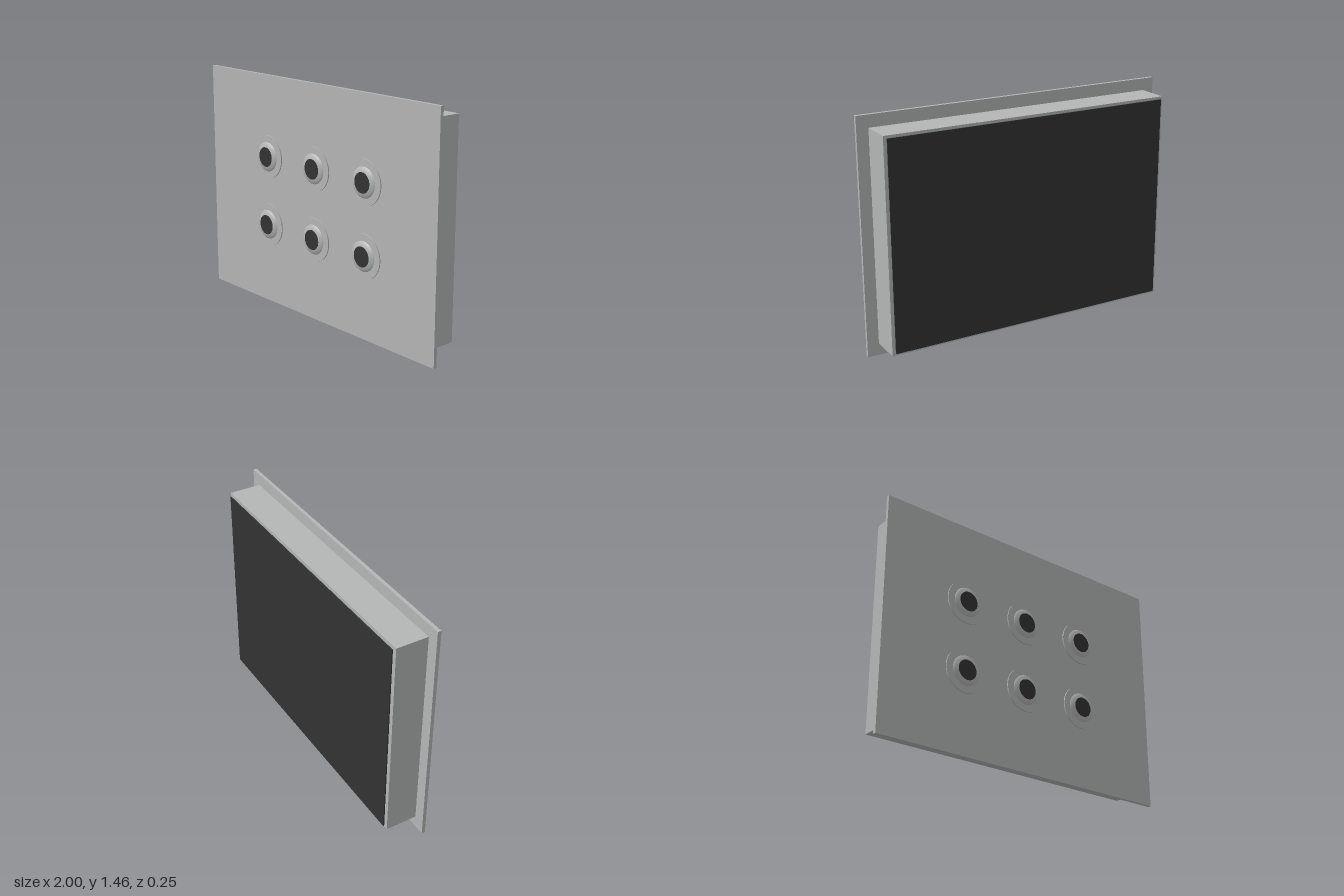
import * as THREE from 'three';

export function createModel() {
  const model = new THREE.Group();
  const grey = new THREE.MeshStandardMaterial({ color: 0xb4b6b5 });
  grey.name = 'satin grey';
  const dark = new THREE.MeshStandardMaterial({ color: 0x333333 });
  dark.name = 'charcoal';

  const add = (parent, name, geometry, material) => {
    const mesh = new THREE.Mesh(geometry, material);
    mesh.name = name;
    parent.add(mesh);
    return mesh;
  };

  // Box given by its limits, centred on x
  const slab = (name, width, y0, y1, z0, z1, material) =>
    add(model, name, new THREE.BoxGeometry(width, y1 - y0, z1 - z0), material)
      .position.set(0, (y0 + y1) / 2, (z0 + z1) / 2);

  slab('frontPanel', 2, 0, 1.455, 0.085, 0.107, grey);
  slab('housing', 1.856, 0.075, 1.38, -0.114, 0.085, grey);
  // Thin back plate, set slightly off the housing
  slab('backPlate', 1.82, 0.09, 1.365, -0.127, -0.121, dark);

  // Round fittings turned to face the front
  const disc = new THREE.CylinderGeometry(0.136, 0.136, 0.007, 48).rotateX(Math.PI / 2);
  const bezel = new THREE.LatheGeometry(
    [[0.092, 0], [0.088, 0.004], [0.076, 0.01], [0.062, 0.014]].map(([r, h]) => new THREE.Vector2(r, h)),
    32
  ).rotateX(Math.PI / 2);
  const lens = new THREE.CircleGeometry(0.062, 32);

  // Two rows of three
  for (const y of [0.51, 0.946]) {
    for (const x of [-0.436, 0, 0.436]) {
      const button = new THREE.Group();
      button.name = 'button';
      button.position.set(x, y, 0.107);
      add(button, 'buttonDisc', disc, grey).position.z = 0.0035;
      add(button, 'buttonBezel', bezel, grey).position.z = 0.007;
      add(button, 'buttonLens', lens, dark).position.z = 0.021;
      model.add(button);
    }
  }
  return model;
}
